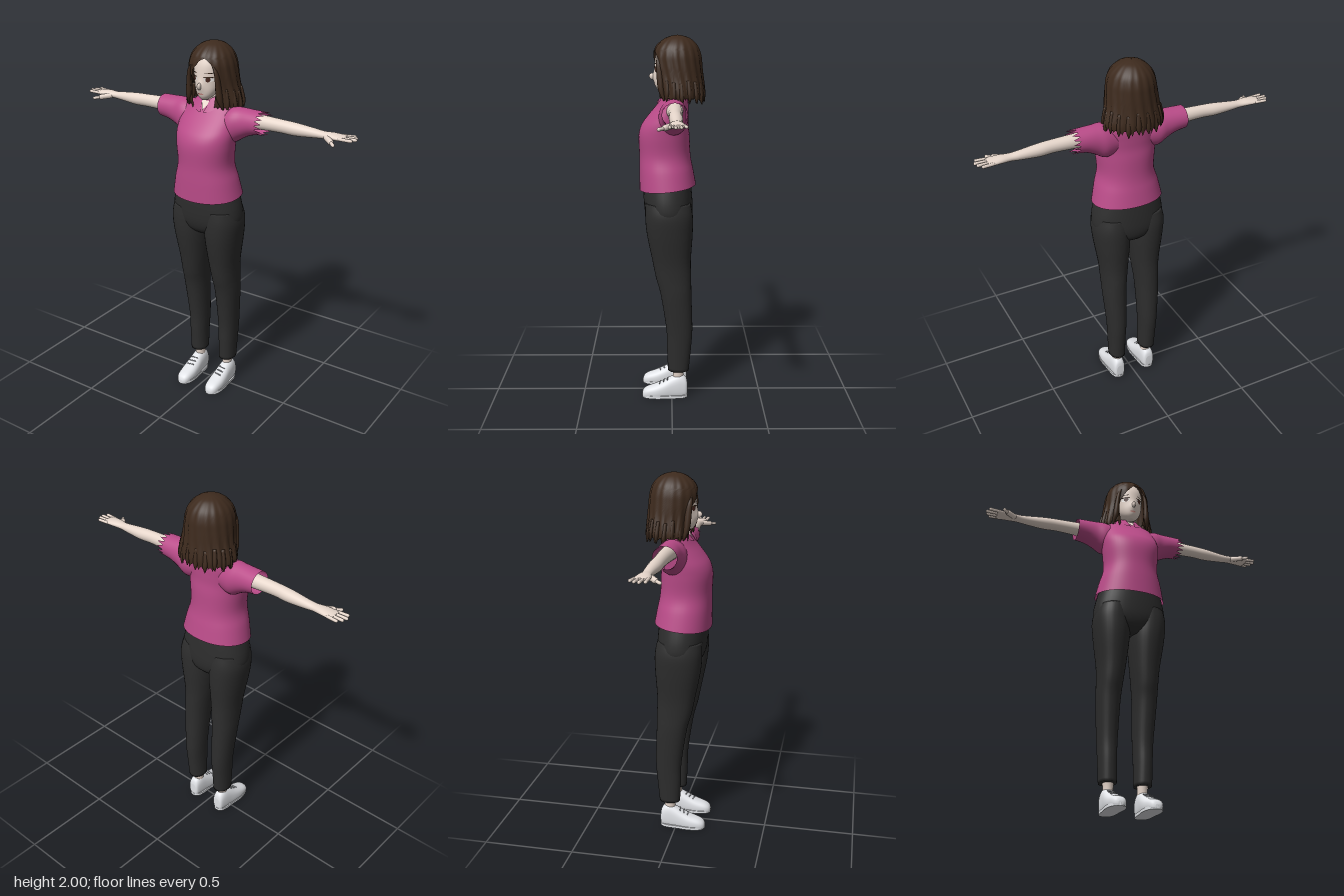
import * as THREE from 'three';

const paint = (color, side = THREE.FrontSide) => new THREE.MeshStandardMaterial({ color, side });

// Cylinder-like grid of points; rows run along the axis, columns around it
function grid(rows, cols, fn, closed, cap) {
  const pos = [], idx = [];
  for (let i = 0; i < rows; i++) for (let j = 0; j < cols; j++) pos.push(...fn(i, j));
  const last = closed ? cols : cols - 1;
  for (let i = 0; i < rows - 1; i++) for (let j = 0; j < last; j++) {
    const k = (j + 1) % cols, a = i * cols + j, b = i * cols + k;
    idx.push(a, b, b + cols, a, b + cols, a + cols);
  }
  if (cap) for (const i of [0, rows - 1]) {
    const c = [0, 0, 0], n = pos.length / 3;
    for (let j = 0; j < cols; j++) for (let d = 0; d < 3; d++) c[d] += pos[(i * cols + j) * 3 + d] / cols;
    pos.push(...c);
    for (let j = 0; j < cols; j++) {
      const a = i * cols + j, b = i * cols + (j + 1) % cols;
      idx.push(...(i ? [a, b, n] : [b, a, n]));
    }
  }
  const g = new THREE.BufferGeometry();
  g.setAttribute('position', new THREE.Float32BufferAttribute(pos, 3));
  g.setIndex(idx);
  g.computeVertexNormals();
  return g;
}

// Smooth in-between sections
function resample(keys, sub = 5) {
  const out = [], K = i => keys[Math.min(keys.length - 1, Math.max(0, i))];
  for (let i = 0; i < keys.length - 1; i++) for (let s = 0; s < sub; s++) {
    const t = s / sub, a = K(i - 1), b = K(i), c = K(i + 1), d = K(i + 2);
    out.push(b.map((_, k) => 0.5 * (2 * b[k] + (c[k] - a[k]) * t + (2 * a[k] - 5 * b[k] + 4 * c[k] - d[k]) * t * t
      + (3 * b[k] - a[k] - 3 * c[k] + d[k]) * t * t * t)));
  }
  out.push(keys[keys.length - 1]);
  return out;
}

const AXIS = { y: (p, q, t) => [p, t, q], x: (p, q, t) => [t, q, p], z: (p, q, t) => [q, p, t] };
const bend = (v, p) => Math.sign(v) * Math.abs(v) ** (2 / p);

// Sections are [t, c1, c2, r1, r2]: y axis uses (x, z), x axis uses (z, y), z axis uses (y, x)
function loft(axis, keys, { n = 32, p = 2, cap = true, warp = v => v } = {}) {
  const rows = resample(keys);
  return grid(rows.length, n, (i, j) => {
    const [t, c1, c2, r1, r2] = rows[i], a = j / n * Math.PI * 2;
    return warp(AXIS[axis](c1 + r1 * bend(Math.sin(a), p), c2 + r2 * bend(Math.cos(a), p), t), j, i === rows.length - 1);
  }, true, cap);
}

// Front z of a y-axis loft at x, y
function frontZ(keys, x, y, p = 2) {
  const rows = resample(keys);
  let i = 0;
  while (i < rows.length - 2 && rows[i + 1][0] < y) i++;
  const f = Math.min(1, Math.max(0, (y - rows[i][0]) / (rows[i + 1][0] - rows[i][0])));
  const [, , cz, rx, rz] = rows[i].map((v, k) => v + (rows[i + 1][k] - v) * f);
  return cz + rz * Math.max(0, 1 - Math.abs(x / rx) ** p) ** (1 / p);
}

function mirror(geo) {
  const g = geo.clone().scale(-1, 1, 1), a = g.index.array;
  for (let i = 0; i < a.length; i += 3) [a[i], a[i + 1]] = [a[i + 1], a[i]];
  return g;
}

function limb(a, b, r) {
  const A = new THREE.Vector3(...a), B = new THREE.Vector3(...b), d = B.clone().sub(A);
  const q = new THREE.Quaternion().setFromUnitVectors(new THREE.Vector3(0, 1, 0), d.clone().normalize());
  const m = A.add(B).multiplyScalar(0.5);
  return new THREE.CapsuleGeometry(r, d.length(), 4, 10).applyQuaternion(q).translate(m.x, m.y, m.z);
}

const TORSO = [[1.18, 0, .022, .195, .153], [1.28, 0, .03, .175, .146], [1.37, 0, .037, .153, .138], [1.47, 0, .041, .16, .137],
  [1.53, 0, .036, .165, .126], [1.58, 0, .018, .166, .108], [1.63, 0, -.003, .163, .087], [1.67, 0, -.014, .145, .07],
  [1.69, 0, -.02, .095, .06], [1.705, 0, -.022, .062, .055]];
const HEAD = [[1.708, 0, .05, .016, .018], [1.73, 0, .038, .042, .046], [1.76, 0, .02, .062, .07], [1.8, 0, 0, .076, .09],
  [1.85, 0, -.01, .083, .1], [1.9, 0, -.018, .085, .1], [1.95, 0, -.025, .07, .08], [1.975, 0, -.025, .03, .035]];
const HAIR = [[1.675, 0, -.05, .155, .122], [1.71, 0, -.048, .154, .126], [1.78, 0, -.04, .138, .126], [1.85, 0, -.032, .129, .128],
  [1.9, 0, -.028, .121, .126], [1.945, 0, -.028, .102, .108], [1.98, 0, -.03, .066, .07], [1.995, 0, -.03, .03, .032], [2, 0, -.03, .001, .001]];

export function createModel() {
  const root = new THREE.Group();
  const D = THREE.DoubleSide;
  const skin = paint(0xe6d6cb), shirt = paint(0xb94b88, D), pants = paint(0x2d2d2d), hairMat = paint(0x3d2a1d, D);
  const shoeMat = paint(0xe6e8ec), lace = paint(0x9a9ca2), eyeWhite = paint(0xf2eeea), iris = paint(0x4a2a22), lip = paint(0xc08880);
  skin.name = 'skin'; shirt.name = 'shirt'; pants.name = 'trousers'; hairMat.name = 'hair'; shoeMat.name = 'shoe';
  lace.name = 'lace'; eyeWhite.name = 'eye white'; iris.name = 'iris'; lip.name = 'lip';
  const add = (name, geo, mat) => {
    const m = new THREE.Mesh(geo, mat);
    m.name = name;
    root.add(m);
  };
  const pair = (name, geo, mat) => { add(name + 'Left', geo, mat); add(name + 'Right', mirror(geo), mat); };

  // Shirt body, its hem rising toward the back
  add('shirtBody', loft('y', TORSO, { n: 48, p: 2.15, cap: false, warp: ([x, y, z]) =>
    [x, y + (.17 - z) * .1 * Math.max(0, 1 - (y - 1.18) / .15), z] }), shirt);
  // Sleeves: one plain, one with a ragged cuff
  const sleeve = [[.09, -.005, 1.58, .07, .08], [.15, -.008, 1.585, .077, .094], [.2, -.012, 1.6, .068, .08],
    [.25, -.013, 1.611, .065, .067], [.31, -.014, 1.616, .064, .06]];
  add('sleeveRight', mirror(loft('x', sleeve, { cap: false })), shirt);
  add('sleeveLeft', loft('x', sleeve, { cap: false, warp: ([x, y, z], j, end) =>
    [end ? (j % 2 ? .335 : .295) : Math.min(x, .295), y, z] }), shirt);
  // Folded collar, open at the front
  add('collar', grid(4, 41, (i, j) => {
    const u = i / 3, a0 = .08 + .32 * u, a = a0 + (2 * Math.PI - 2 * a0) * j / 40;
    const f = Math.max(0, Math.cos(a)) ** 2;
    return [(.098 - .042 * u) * Math.sin(a), (1.69 - .045 * f) * (1 - u) + (1.73 - .02 * f) * u, -.018 + (.1 - .045 * u) * Math.cos(a)];
  }, false), shirt);
  // Bare skin in the collar opening
  const vee = new THREE.BufferGeometry();
  vee.setAttribute('position', new THREE.Float32BufferAttribute(
    [[0, 1.655], [.028, 1.7], [-.028, 1.7]].flatMap(([x, y]) => [x, y, frontZ(TORSO, x, y) + .009]), 3));
  vee.setIndex([0, 1, 2]);
  vee.computeVertexNormals();
  add('openNeck', vee, skin);

  // Trousers
  add('trouserSeat', loft('y', [[.97, 0, .005, .09, .085], [1.0, 0, .01, .15, .115], [1.05, 0, .015, .198, .13],
    [1.12, 0, .02, .2, .133], [1.21, 0, .025, .18, .13]], { n: 40, p: 2.2 }), pants);
  pair('trouserLeg', loft('y', [[.16, .097, -.037, .046, .058], [.28, .099, -.04, .048, .066], [.4, .1, -.042, .053, .072],
    [.6, .103, -.024, .063, .084], [.7, .1, -.01, .068, .096], [.8, .097, .001, .077, .105], [.95, .1, .011, .095, .124],
    [1.05, .104, .015, .099, .128], [1.12, .1, .02, .09, .12]], { p: 2.2 }), pants);

  // Ankles and shoes
  pair('ankle', loft('y', [[.06, .095, -.038, .028, .032], [.13, .094, -.036, .027, .03], [.2, .096, -.036, .032, .036]], { n: 20 }), skin);
  const flat = ([x, y, z]) => [x, Math.max(.004, y), z];
  pair('shoe', loft('z', [[-.088, .05, .097, .035, .022], [-.078, .055, .097, .06, .033], [-.045, .06, .097, .074, .038],
    [0, .052, .097, .066, .041], [.045, .04, .097, .053, .045], [.09, .03, .097, .043, .046], [.135, .024, .097, .033, .04],
    [.158, .018, .097, .024, .028], [.167, .014, .097, .01, .012]], { n: 28, p: 2.5, warp: flat }), shoeMat);
  const sole = new THREE.Shape();
  sole.moveTo(.097, .168).bezierCurveTo(.15, .165, .15, .08, .142, .03).bezierCurveTo(.137, -.02, .148, -.09, .097, -.09)
    .bezierCurveTo(.046, -.09, .057, -.02, .052, .03).bezierCurveTo(.044, .08, .044, .165, .097, .168);
  const soleGeo = new THREE.ExtrudeGeometry(sole, { depth: .016, bevelEnabled: false, curveSegments: 10 })
    .rotateX(Math.PI / 2).translate(0, .016, 0);
  add('soleLeft', soleGeo, shoeMat);
  add('soleRight', soleGeo.clone().translate(-.194, 0, 0), shoeMat);
  for (let k = 0; k < 3; k++) {
    const z = .02 + k * .022, y = .109 - k * .0115;
    pair('lace' + k, limb([.078, y - .004, z], [.116, y - .004, z + .006], .003), lace);
  }

  // Arms run into the palms, then fingers and thumb
  pair('arm', loft('x', [[.12, -.015, 1.615, .045, .045], [.3, -.017, 1.62, .037, .038], [.42, -.016, 1.62, .033, .034],
    [.5, -.018, 1.617, .034, .033], [.6, -.021, 1.616, .027, .024], [.65, -.02, 1.616, .026, .019], [.7, -.02, 1.618, .035, .018],
    [.75, -.022, 1.618, .04, .013], [.768, -.022, 1.618, .035, .009]], { n: 24 }), skin);
  [[-.055, .797, -.062], [-.034, .815, -.039], [-.012, .822, -.014], [.01, .81, .013]].forEach(([z0, x1, z1], k) =>
    pair('finger' + k, limb([.745, 1.619, z0], [x1, 1.621, z1], .0085), skin));
  pair('thumbBase', limb([.675, 1.612, 0], [.715, 1.606, .035], .015), skin);
  pair('thumb', limb([.71, 1.606, .03], [.742, 1.602, .063], .009), skin);

  // Neck, head and nose
  add('neck', new THREE.CylinderGeometry(.036, .043, .15, 24).translate(0, 1.7, -.02), skin);
  add('head', loft('y', HEAD, { n: 48, warp: ([x, y, z]) =>
    [x, y, z + (z > 0 ? .012 * Math.exp(-((x / .02) ** 2) - ((y - 1.785) / .03) ** 2) : 0)] }), skin);
  add('nose', new THREE.SphereGeometry(1, 16, 12).scale(.01, .018, .02).rotateX(-.25).translate(0, 1.785, .1), skin);

  // Face details hug the head surface
  const patch = (x0, y0, w, h, lift) => {
    const g = new THREE.CircleGeometry(1, 24).scale(w, h, 1).translate(x0, y0, 0), p = g.attributes.position;
    for (let i = 0; i < p.count; i++) p.setZ(i, frontZ(HEAD, p.getX(i), p.getY(i)) + lift);
    g.computeVertexNormals();
    return g;
  };
  pair('eyeWhite', patch(.041, 1.822, .021, .013, .003), eyeWhite);
  pair('iris', patch(.04, 1.822, .011, .013, .005), iris);
  pair('upperLash', patch(.042, 1.834, .024, .004, .006), hairMat);
  pair('eyebrow', patch(.042, 1.853, .022, .0025, .004), hairMat);
  add('mouth', patch(0, 1.744, .017, .005, .004), lip);

  // Bobbed hair: strand ridges, ragged hem and an off-centre parting over the face
  const rows = resample(HAIR), cols = 97;
  const openAt = y => {
    const t = Math.min(1, Math.max(0, (1.925 - y) / .1));
    return .074 * Math.sqrt(t) * (y < 1.74 ? 1 - (1.74 - y) * 2 : 1);
  };
  add('hair', grid(rows.length, cols, (i, j) => {
    const [y, , cz, rx, rz] = rows[i], w = openAt(y), mid = .022 * Math.min(1, Math.max(0, (y - 1.8) / .1));
    const aL = Math.asin(Math.min(.9, (mid + w) / Math.max(rx, .05))), aR = Math.asin(Math.min(.9, (w - mid) / Math.max(rx, .05)));
    const a = aL + (2 * Math.PI - aL - aR) * j / (cols - 1);
    const low = Math.min(1, Math.max(0, (2 - y) / .3));
    const r = 1 + (.012 + .02 * low) * Math.sin(a * 17 + 1.2 * Math.sin(y * 14)) + .012 * low * Math.sin(a * 41);
    const rag = i === 0 ? .016 * Math.sin(j * 2.1) + .01 * Math.sin(j * .9) : 0;
    return [rx * r * Math.sin(a), y + rag, cz + rz * r * Math.cos(a)];
  }, false), hairMat);
  // Side locks framing the face and loose tips along the hem
  pair('sideLock', loft('y', [[1.665, .105, .04, .004, .004], [1.72, .094, .055, .017, .016], [1.8, .088, .062, .014, .018],
    [1.86, .08, .068, .01, .014], [1.9, .06, .07, .004, .006]], { n: 12 }), hairMat);
  for (let k = 0; k < 14; k++) {
    const a = .9 + k / 13 * (2 * Math.PI - 1.8), s = Math.sin(a), c = Math.cos(a), y = 1.67 - .014 * (k % 3) / 2;
    add('hairTip' + k, loft('y', [[y - .012, .157 * s, -.05 + .124 * c, .002, .002], [y + .03, .15 * s, -.05 + .118 * c, .016, .012],
      [y + .1, .138 * s, -.045 + .112 * c, .012, .01]], { n: 8 }), hairMat);
  }
  return root;
}
